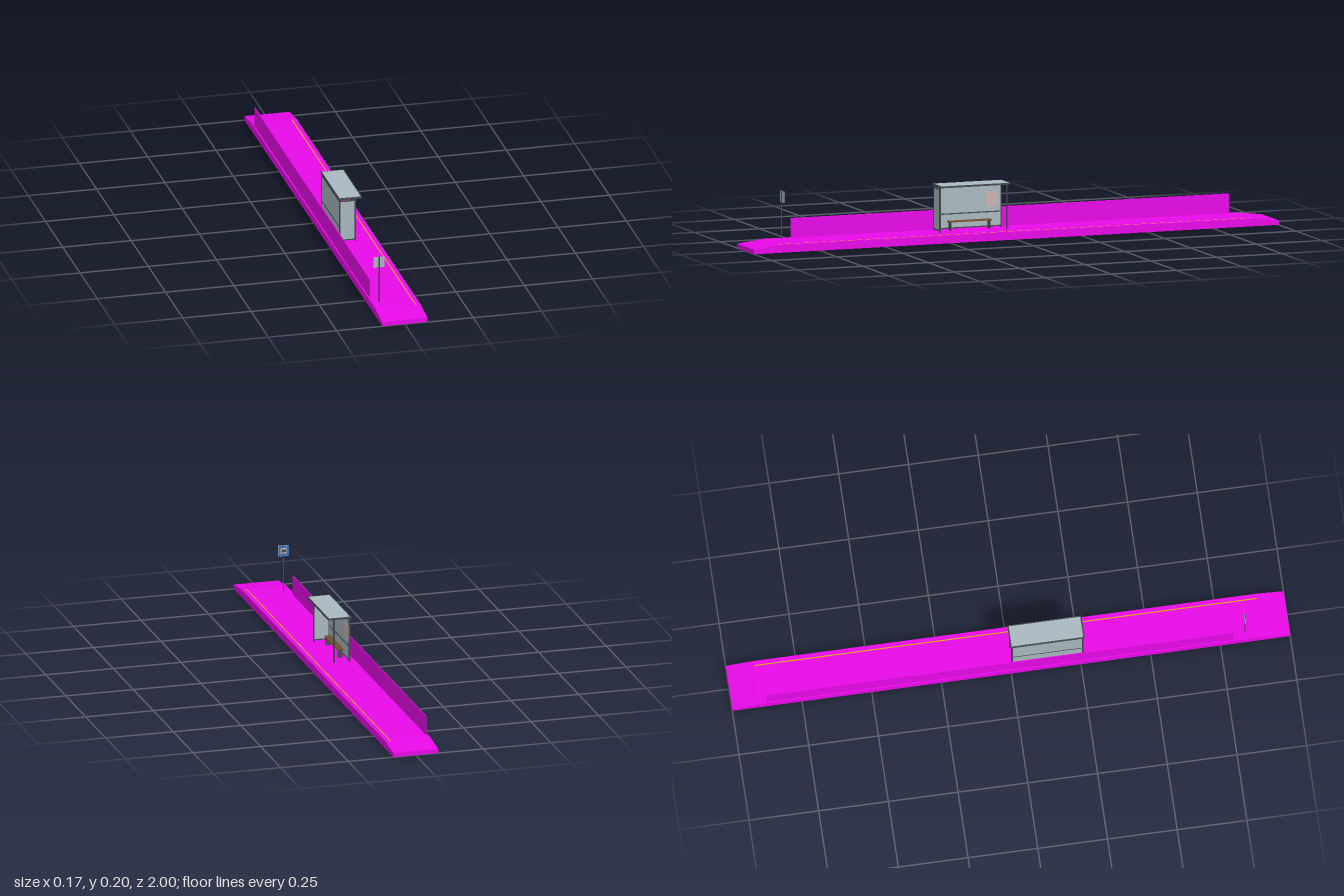
import * as THREE from 'three';

const mat = (color) => new THREE.MeshStandardMaterial({ color });

export function createModel() {
  const model = new THREE.Group();
  const magenta = mat(0xe80ae8), steel = mat(0x454b4e), glass = mat(0xa9b9c0);
  const wood = mat(0x7a5230), yellow = mat(0xe0a520), blue = mat(0x3f6fa8), paper = mat(0xc9b4b0);

  // Box given by its min and max corners
  function box(name, material, [x0, y0, z0], [x1, y1, z1], parent = model) {
    const mesh = new THREE.Mesh(new THREE.BoxGeometry(x1 - x0, y1 - y0, z1 - z0), material);
    mesh.position.set((x0 + x1) / 2, (y0 + y1) / 2, (z0 + z1) / 2);
    mesh.name = name;
    parent.add(mesh);
    return mesh;
  }
  const deck = 0.028;

  // Platform: side profile with ramped ends, extruded across x
  const profile = new THREE.Shape([
    [-1, 0], [1, 0], [1, 0.016], [0.9, deck], [-0.9, deck], [-1, 0.016],
  ].map(([z, y]) => new THREE.Vector2(z, y)));
  const slab = new THREE.ExtrudeGeometry(profile, { depth: 0.166, bevelEnabled: false });
  slab.translate(0, 0, -0.083).rotateY(-Math.PI / 2);
  const platform = new THREE.Mesh(slab, magenta);
  platform.name = 'platform';
  model.add(platform);
  box('edgeStripe', yellow, [0.063, deck - 0.002, -0.9], [0.067, deck + 0.0004, 0.9]);

  // Rear barrier wall
  box('barrierWall', magenta, [-0.078, deck, -0.872], [-0.075, 0.098, 0.798]);

  // Shelter
  const shelter = new THREE.Group();
  shelter.name = 'shelter';
  model.add(shelter);
  const zA = 0.007, zB = 0.261, xBack = -0.052, xFront = 0.005, top = 0.191;
  for (const z of [zA, zB]) {
    for (const x of [xBack, xFront]) {
      box('post', steel, [x - 0.0025, deck, z - 0.0025], [x + 0.0025, top, z + 0.0025], shelter);
    }
  }
  // Glazed back wall with rails
  box('backGlass', glass, [xBack - 0.001, 0.036, zA], [xBack + 0.001, 0.184, zB], shelter);
  for (const y of [0.034, 0.085, 0.183]) {
    box('backRail', steel, [xBack - 0.002, y - 0.002, zA], [xBack + 0.002, y + 0.002, zB], shelter);
  }
  // Glazed end wall
  box('endGlass', glass, [xBack, 0.036, zB - 0.001], [xFront, 0.184, zB + 0.001], shelter);
  for (const y of [0.035, 0.183]) {
    box('endRail', steel, [xBack, y - 0.002, zB - 0.002], [xFront, y + 0.002, zB + 0.002], shelter);
  }
  // Roof: dark tray with a pale panel on top
  box('roofFrame', steel, [-0.057, 0.190, 0.001], [0.028, 0.196, 0.267], shelter);
  box('roofPanel', glass, [-0.053, 0.195, 0.006], [0.024, 0.1967, 0.262], shelter);
  // Timetable on the back wall
  box('timetable', paper, [xBack + 0.001, 0.105, 0.018], [xBack + 0.003, 0.157, 0.064], shelter);

  // Bench
  const bench = new THREE.Group();
  bench.name = 'bench';
  shelter.add(bench);
  for (let i = 0; i < 3; i++) {
    const x = -0.044 + i * 0.008;
    box('benchSlat', wood, [x, 0.058, 0.052], [x + 0.0065, 0.062, 0.216], bench);
  }
  for (const z of [0.06, 0.208]) {
    box('benchLeg', steel, [-0.042, deck, z - 0.002], [-0.023, 0.058, z + 0.002], bench);
  }

  // Stop sign post and plate
  const sign = new THREE.Group();
  sign.name = 'stopSign';
  model.add(sign);
  const pole = new THREE.Mesh(new THREE.CylinderGeometry(0.002, 0.002, 0.172, 10), steel);
  pole.position.set(-0.054, deck + 0.086, 0.842);
  pole.name = 'signPole';
  sign.add(pole);
  box('signPlate', glass, [-0.074, 0.16, 0.839], [-0.034, 0.2, 0.8405], sign);
  box('signFace', blue, [-0.073, 0.161, 0.838], [-0.035, 0.199, 0.839], sign);
  box('signPanel', paper, [-0.065, 0.17, 0.8375], [-0.043, 0.19, 0.838], sign);
  box('signSymbol', steel, [-0.062, 0.175, 0.837], [-0.046, 0.185, 0.8375], sign);

  return model;
}
